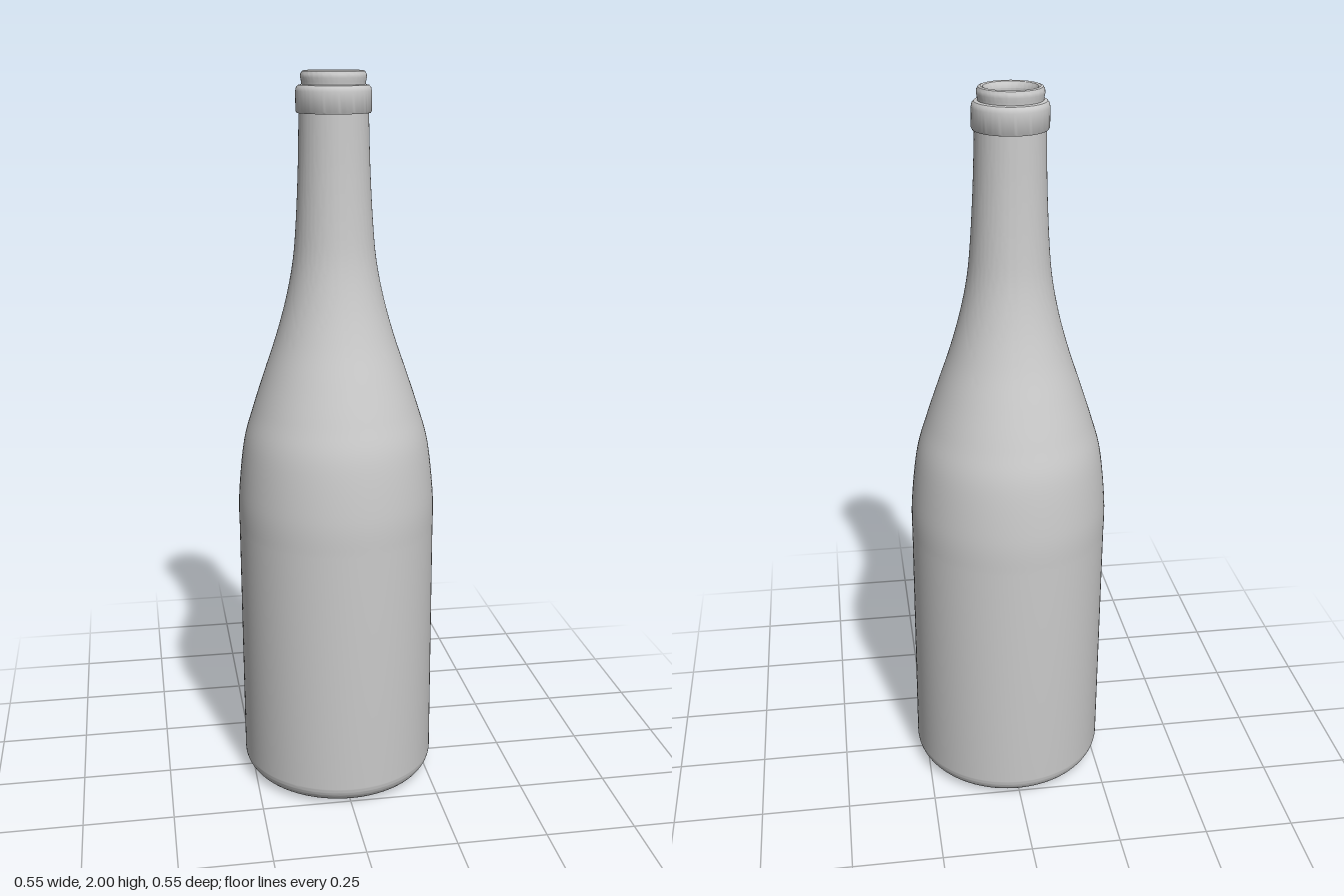
import * as THREE from 'three';
import { toCreasedNormals } from 'three/addons/utils/BufferGeometryUtils.js';

const SEGMENTS = 96;
const material = new THREE.MeshStandardMaterial({ color: 0xcccccc });
const v = (r, y) => new THREE.Vector2(r, y);

// The bottle leans very slightly, so its neck sits a little towards -x
const LEAN = -0.0055;
const lean = new THREE.Matrix4().makeShear(0, 0, LEAN, 0, 0, 0)
  .setPosition(-LEAN * 0.5, 0, 0);

// Smooth curve through a few [radius, height] points
function smooth(points, divisions) {
  const curve = new THREE.SplineCurve(points.map(([r, y]) => v(r, y)));
  return curve.getPoints(divisions).map((p) => v(Math.max(p.x, 0), p.y));
}

function lathe(name, profile) {
  let geometry = new THREE.LatheGeometry(profile, SEGMENTS);
  const p = geometry.attributes.position;
  for (let i = 0; i < p.count; i++) p.setX(i, p.getX(i) + LEAN * (p.getY(i) - 0.5));
  geometry = toCreasedNormals(geometry, 0.6);
  const mesh = new THREE.Mesh(geometry, material);
  mesh.name = name;
  return mesh;
}

export function createModel() {
  const bottle = new THREE.Group();
  bottle.name = 'bottle';

  // Hollow under the base, running out to the ring it stands on
  bottle.add(lathe('punt', smooth([
    [0, 0.13], [0.06, 0.122], [0.12, 0.093], [0.17, 0.045], [0.198, 0.01], [0.218, 0],
  ], 28)));

  // Rounded heel, straight body, sloping shoulder and neck
  const heel = new THREE.Path().absarc(0.218, 0.057, 0.057, -Math.PI / 2, 0).getPoints(12);
  const shoulder = smooth([
    [0.275, 0.75], [0.274, 0.85], [0.257, 1.0], [0.229, 1.1], [0.196, 1.2], [0.162, 1.3],
    [0.134, 1.4], [0.114, 1.5], [0.104, 1.6], [0.096, 1.75], [0.092, 1.9],
  ], 60);
  bottle.add(lathe('body', [...heel, ...shoulder]));

  // Collar around the top of the neck
  bottle.add(lathe('collar', [
    v(0.09, 1.893), v(0.097, 1.893), v(0.1, 1.898), v(0.1, 1.948),
    v(0.098, 1.957), v(0.093, 1.963), v(0.084, 1.965),
  ]));

  // Rounded lip of the mouth
  bottle.add(lathe('lip', [
    v(0.084, 1.962), v(0.0845, 1.972), v(0.0866, 1.982), v(0.086, 1.991), v(0.082, 1.998),
    v(0.076, 2), v(0.07, 1.998), v(0.0655, 1.992), v(0.0636, 1.982),
  ]));

  // Inner wall, down to the raised floor
  const inside = smooth([
    [0.0636, 1.982], [0.066, 1.8], [0.078, 1.6], [0.108, 1.4], [0.17, 1.2], [0.231, 1.0],
    [0.249, 0.8], [0.25, 0.5], [0.25, 0.1], [0.225, 0.04], [0.18, 0.08], [0.12, 0.125], [0, 0.155],
  ], 60);
  bottle.add(lathe('innerWall', inside));

  return bottle;
}
